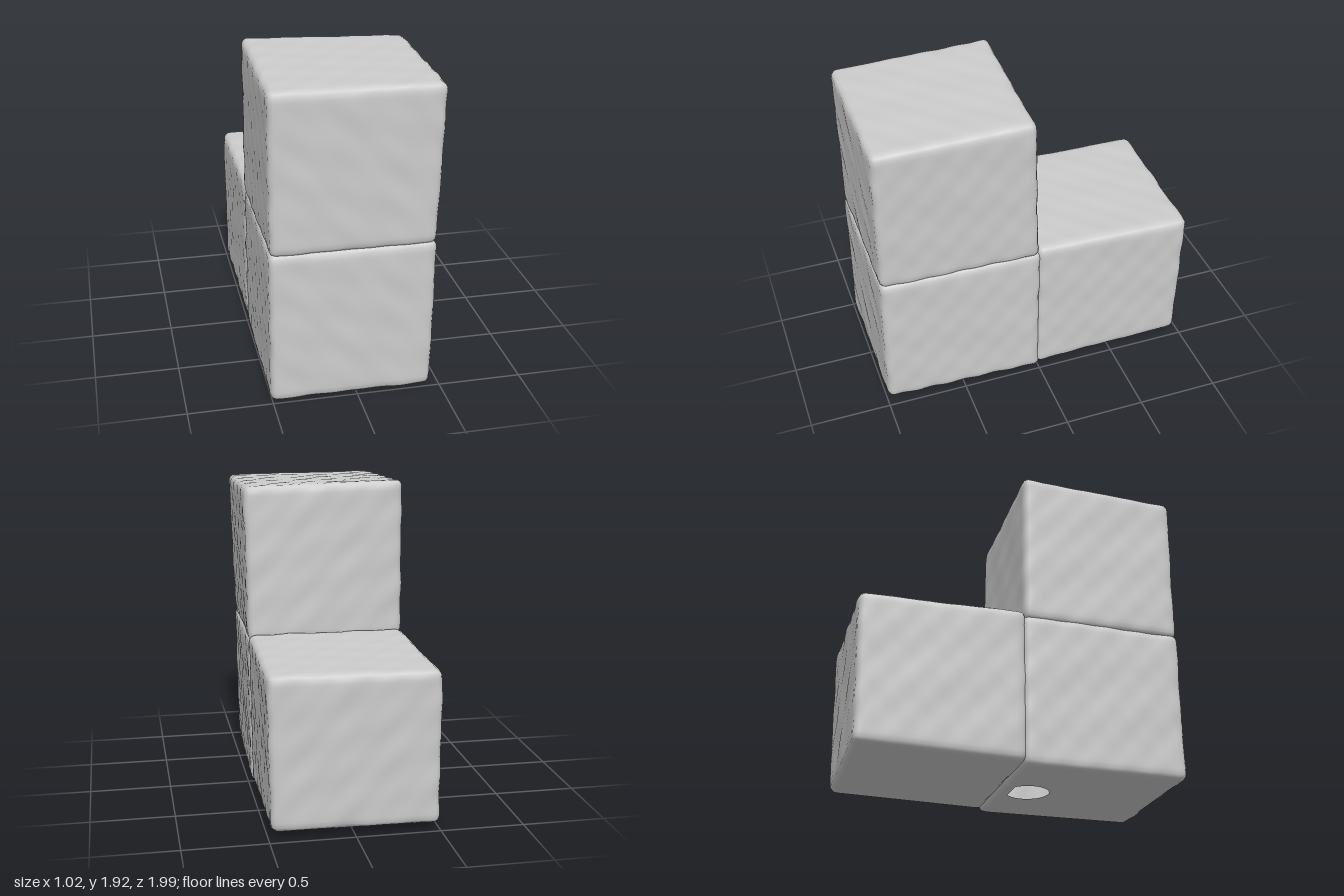
import * as THREE from 'three';
import { mergeVertices, mergeGeometries } from 'three/addons/utils/BufferGeometryUtils.js';

const SEG = 32, BEVEL = 1.5 / SEG, FLAT = 0.5 - 2 / SEG;

// Soft bumps of hand-cut stone
const bump = (x, y, z) => 0.0022 * (
  Math.sin(17 * x + 5 * y + 3 * z) * Math.sin(13 * y - 7 * z + 1) +
  Math.sin(31 * z + 11 * x) * Math.sin(27 * y + 19 * x + 2));

// Unit cube with softened edges; optionally a round hole (x, z, radius) in its underside
function roundedCube(hole) {
  let geo = new THREE.BoxGeometry(1, 1, 1, SEG, SEG, SEG).toNonIndexed();
  geo.deleteAttribute('uv');
  geo.deleteAttribute('normal');
  if (hole) {
    const p = geo.attributes.position, keep = [];
    const inside = i => p.getY(i) < -0.499 &&
      Math.abs(p.getX(i)) < FLAT + 0.001 && Math.abs(p.getZ(i)) < FLAT + 0.001;
    for (let i = 0; i < p.count; i += 3) {
      if (inside(i) && inside(i + 1) && inside(i + 2)) continue;
      for (let k = i; k < i + 3; k++) keep.push(p.getX(k), p.getY(k), p.getZ(k));
    }
    geo = new THREE.BufferGeometry();
    geo.setAttribute('position', new THREE.Float32BufferAttribute(keep, 3));
    const plate = new THREE.Shape([[-1, -1], [1, -1], [1, 1], [-1, 1]]
      .map(([a, b]) => new THREE.Vector2(a * FLAT, b * FLAT)));
    plate.holes.push(new THREE.Path().absarc(hole.x, hole.z, hole.r, 0, Math.PI * 2, true));
    const under = new THREE.ShapeGeometry(plate, 32).rotateX(Math.PI / 2)
      .translate(0, -0.5, 0).toNonIndexed();
    under.deleteAttribute('uv');
    under.deleteAttribute('normal');
    geo = mergeGeometries([geo, under]);
  }
  const p = geo.attributes.position, v = new THREE.Vector3(), core = new THREE.Vector3();
  for (let i = 0; i < p.count; i++) {
    v.fromBufferAttribute(p, i);
    core.copy(v).clampScalar(-0.5 + BEVEL, 0.5 - BEVEL);
    v.sub(core).setLength(BEVEL).add(core);
    p.setXYZ(i, v.x, v.y, v.z);
  }
  return geo;
}

// Warps the cube to eight corners, ordered x fastest, then y, then z
function block(name, corners, material, hole) {
  let geo = roundedCube(hole);
  const p = geo.attributes.position;
  for (let i = 0; i < p.count; i++) {
    const u = [p.getX(i) + 0.5, p.getY(i) + 0.5, p.getZ(i) + 0.5];
    const out = [0, 0, 0];
    corners.forEach((c, n) => {
      const w = [0, 1, 2].reduce((m, a) => m * ((n >> a) & 1 ? u[a] : 1 - u[a]), 1);
      for (let a = 0; a < 3; a++) out[a] += w * c[a];
    });
    const d = u[1] > 0.01 ? bump(...out) : 0;
    p.setXYZ(i, ...out.map((c, a) => c + d * (u[a] - 0.5) * 2));
  }
  geo = mergeVertices(geo, 1e-4);
  geo.computeVertexNormals();
  const mesh = new THREE.Mesh(geo, material);
  mesh.name = name;
  return mesh;
}

export function createModel() {
  const stone = new THREE.MeshStandardMaterial({ color: 0xcccccc, side: THREE.DoubleSide });
  stone.name = 'grey stone';
  const group = new THREE.Group();
  group.name = 'stackedBlocks';

  // Hollow front block with the opening underneath
  group.add(block('baseBlock', [
    [-0.50, 0.01, -0.01], [0.48, 0.01, -0.01], [-0.50, 0.96, -0.01], [0.49, 0.96, -0.01],
    [-0.51, 0.01, 0.99], [0.45, 0.01, 0.99], [-0.51, 0.95, 0.99], [0.465, 0.95, 0.99],
  ], stone, { x: 0, z: -0.33, r: 0.13 }));

  // Block stacked on the front one
  group.add(block('upperBlock', [
    [-0.50, 0.93, 0.00], [0.485, 0.93, 0.00], [-0.50, 1.93, 0.00], [0.50, 1.905, 0.03],
    [-0.505, 0.93, 0.985], [0.46, 0.93, 0.985], [-0.505, 1.895, 0.99], [0.495, 1.885, 0.99],
  ], stone));

  // Block behind
  group.add(block('rearBlock', [
    [-0.50, 0.05, -0.99], [0.485, 0.05, -0.965], [-0.50, 0.97, -1.00], [0.505, 0.975, -0.975],
    [-0.50, 0.03, 0.01], [0.475, 0.03, 0.01], [-0.50, 0.985, 0.01], [0.485, 0.985, 0.01],
  ], stone));

  return group;
}
